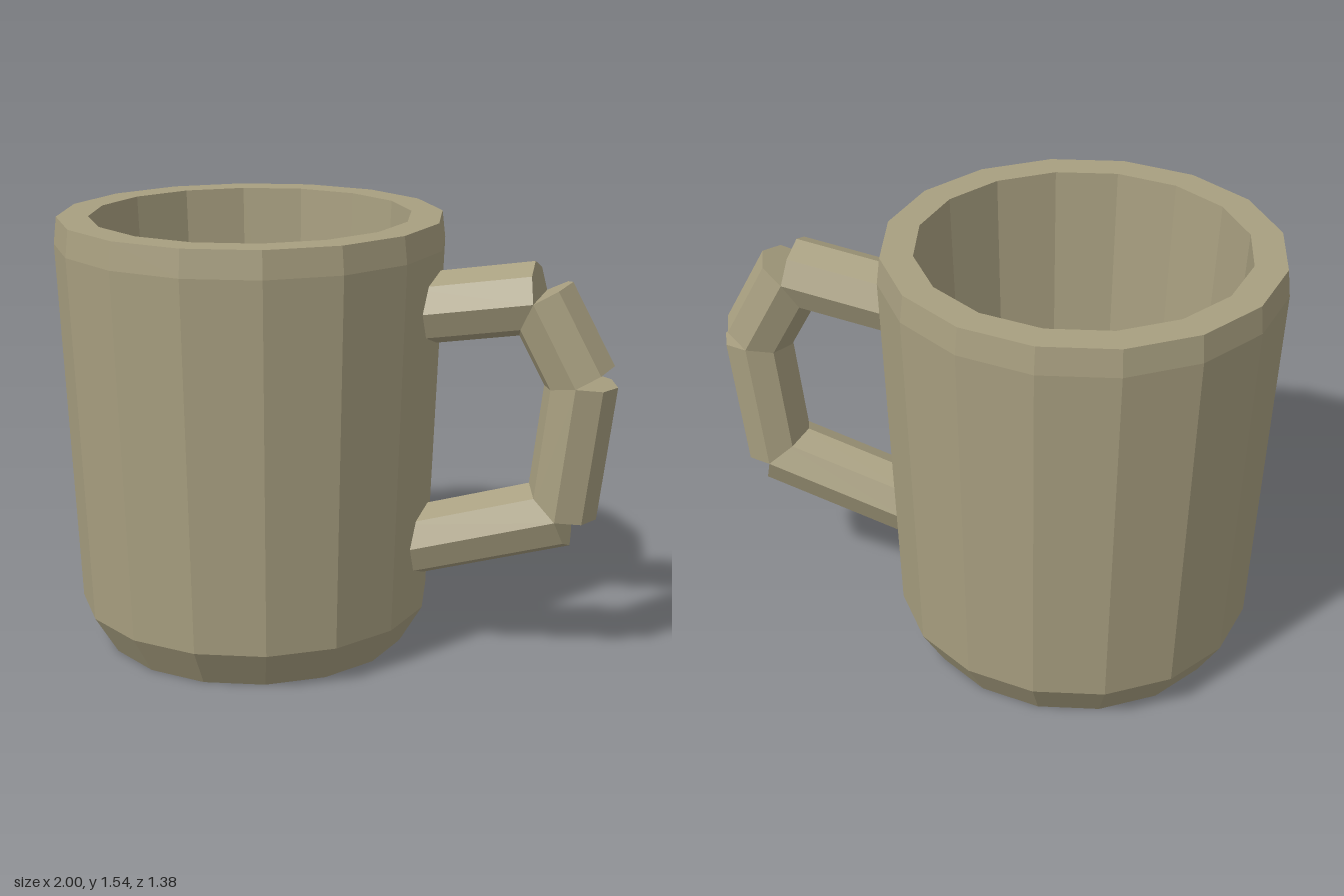
import * as THREE from 'three';

export function createModel() {
  const group = new THREE.Group();
  const clay = new THREE.MeshStandardMaterial({ color: 0xa89f80, flatShading: true });
  clay.name = 'khaki clay';

  // Hollow mug body: underside, outer wall, rim, inner wall, floor
  const profile = [
    [0, 0], [0.552, 0], [0.635, 0.14], [0.688, 1.45], [0.677, 1.545],
    [0.566, 1.545], [0.495, 0.14], [0, 0.14],
  ].map(([r, y]) => new THREE.Vector2(r, y));
  const body = new THREE.Mesh(new THREE.LatheGeometry(profile, 16), clay);
  body.name = 'mugBody';
  body.position.x = -0.312;
  group.add(body);

  // Handle: capped octagonal bars that share their end points
  const handle = new THREE.Group();
  handle.name = 'handle';
  const joints = [
    [0.3, 1.245], [0.72, 1.312], [0.872, 1.032], [0.816, 0.555], [0.284, 0.395],
  ].map(([x, y]) => new THREE.Vector3(x, y, 0));
  const up = new THREE.Vector3(0, 1, 0);
  for (let i = 0; i < joints.length - 1; i++) {
    const dir = joints[i + 1].clone().sub(joints[i]);
    const bar = new THREE.Mesh(new THREE.CylinderGeometry(0.125, 0.125, dir.length(), 8), clay);
    bar.name = `handleBar${i + 1}`;
    bar.position.copy(joints[i]).add(joints[i + 1]).multiplyScalar(0.5);
    bar.quaternion.setFromUnitVectors(up, dir.normalize());
    handle.add(bar);
  }
  group.add(handle);

  return group;
}
